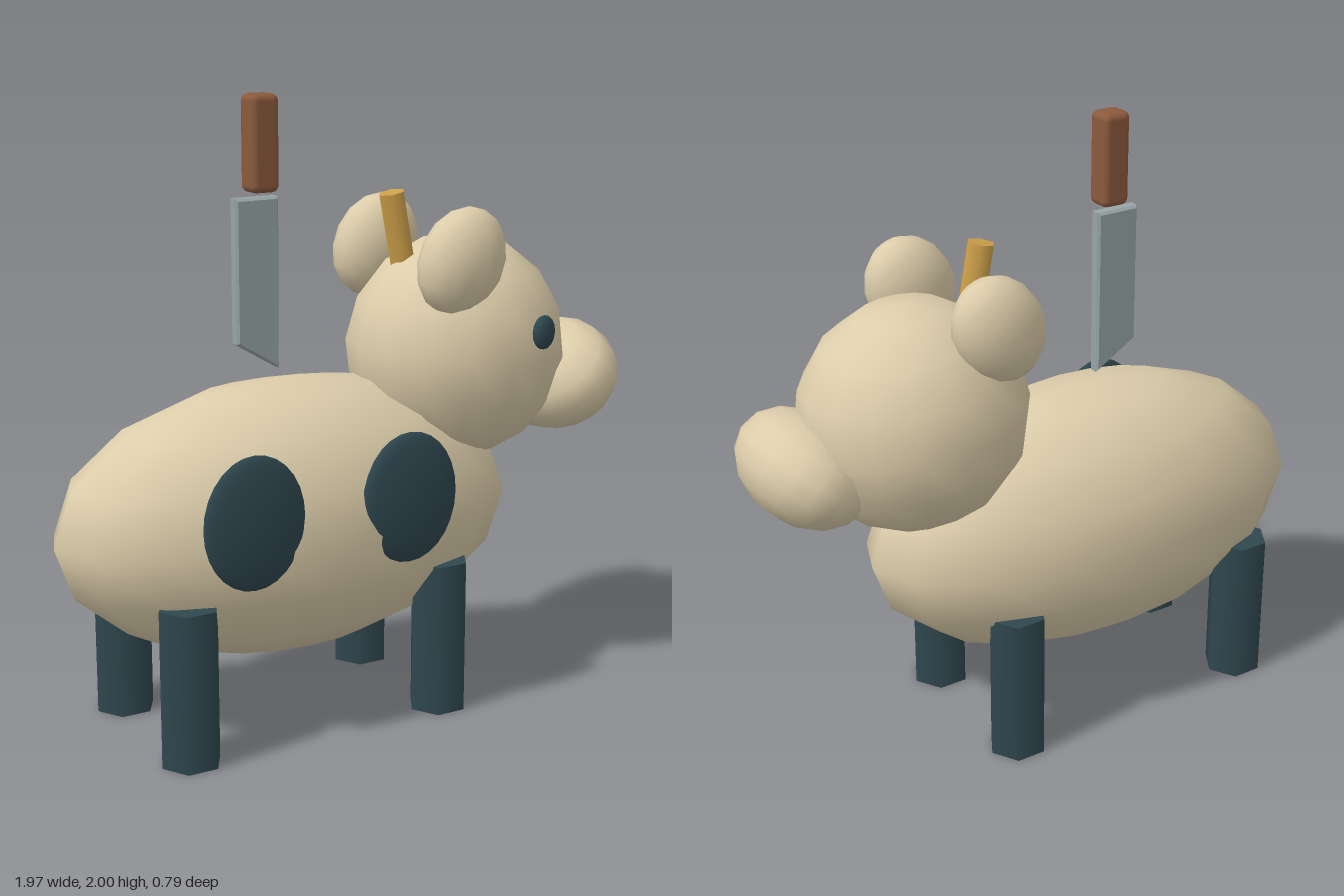
import * as THREE from 'three';
import { RoundedBoxGeometry } from 'three/addons/geometries/RoundedBoxGeometry.js';

const paint = (name, color) => {
  const m = new THREE.MeshStandardMaterial({ color });
  m.name = name;
  return m;
};

export function createModel() {
  const cream = paint('cream', 0xdccdaa);
  const dark = paint('dark slate', 0x2f474f);
  const gold = paint('gold', 0xcda04a);
  const steel = paint('steel', 0x98a5a6);
  const wood = paint('wood', 0x8b5a3c);
  const group = new THREE.Group();

  const add = (name, geometry, material, position, rotation = [0, 0, 0]) => {
    const mesh = new THREE.Mesh(geometry, material);
    mesh.name = name;
    mesh.position.set(...position);
    mesh.rotation.set(...rotation);
    group.add(mesh);
    return mesh;
  };
  const ellipsoid = (name, material, radii, position, rotation, w = 16, h = 8) =>
    add(name, new THREE.SphereGeometry(1, w, h).scale(...radii), material, position, rotation);
  // Six-sided post with corners pointing along x
  const post = (radius, height) =>
    new THREE.CylinderGeometry(radius, radius, height, 6).rotateY(Math.PI / 6);

  // Body and head, the animal looks along +x
  ellipsoid('body', cream, [0.8, 0.445, 0.395], [-0.18, 0.665, 0]);
  ellipsoid('head', cream, [0.375, 0.375, 0.34], [0.445, 1.15, 0.02], [0, 0, -0.09]);
  ellipsoid('snout', cream, [0.205, 0.17, 0.262], [0.797, 1.03, 0.09], [0, 0, 0.7]);

  // Ears
  ellipsoid('leftEar', cream, [0.148, 0.178, 0.102], [0.322, 1.47, 0.235], [0, 0, -0.5]);
  ellipsoid('rightEar', cream, [0.148, 0.178, 0.102], [0.27, 1.47, -0.203], [0, 0, -0.5]);

  // Horn
  add('horn', post(0.045, 0.24), gold, [0.228, 1.55, 0], [0, 0, 0.19]);

  // Eye and flank spots on the +z side only
  ellipsoid('eye', dark, [0.046, 0.056, 0.025], [0.574, 1.234, 0.336], [0, 0.2, 0]);
  for (const x of [-0.485, 0.057]) {
    ellipsoid('spot', dark, [0.17, 0.21, 0.035], [x, 0.77, 0.363], [0, 0, 0], 20, 14);
  }

  // Legs
  for (const x of [-0.655, 0.242]) {
    for (const z of [-0.25, 0.25]) add('leg', post(0.098, 0.505), dark, [x, 0.2525, z]);
  }

  // Cleaver hovering above the back
  const outline = new THREE.Shape([
    [-0.352, 1.236], [-0.218, 1.153], [-0.218, 1.677], [-0.352, 1.677],
  ].map(([x, y]) => new THREE.Vector2(x, y)));
  const blade = new THREE.ExtrudeGeometry(outline, {
    depth: 0.028, bevelEnabled: true, bevelSize: 0.008, bevelThickness: 0.008, bevelSegments: 1,
  }).translate(0, 0, -0.018);
  add('blade', blade, steel, [0, 0, 0]);
  add('handle', new RoundedBoxGeometry(0.097, 0.3, 0.09, 2, 0.022), wood, [-0.268, 1.85, 0.003]);

  return group;
}
